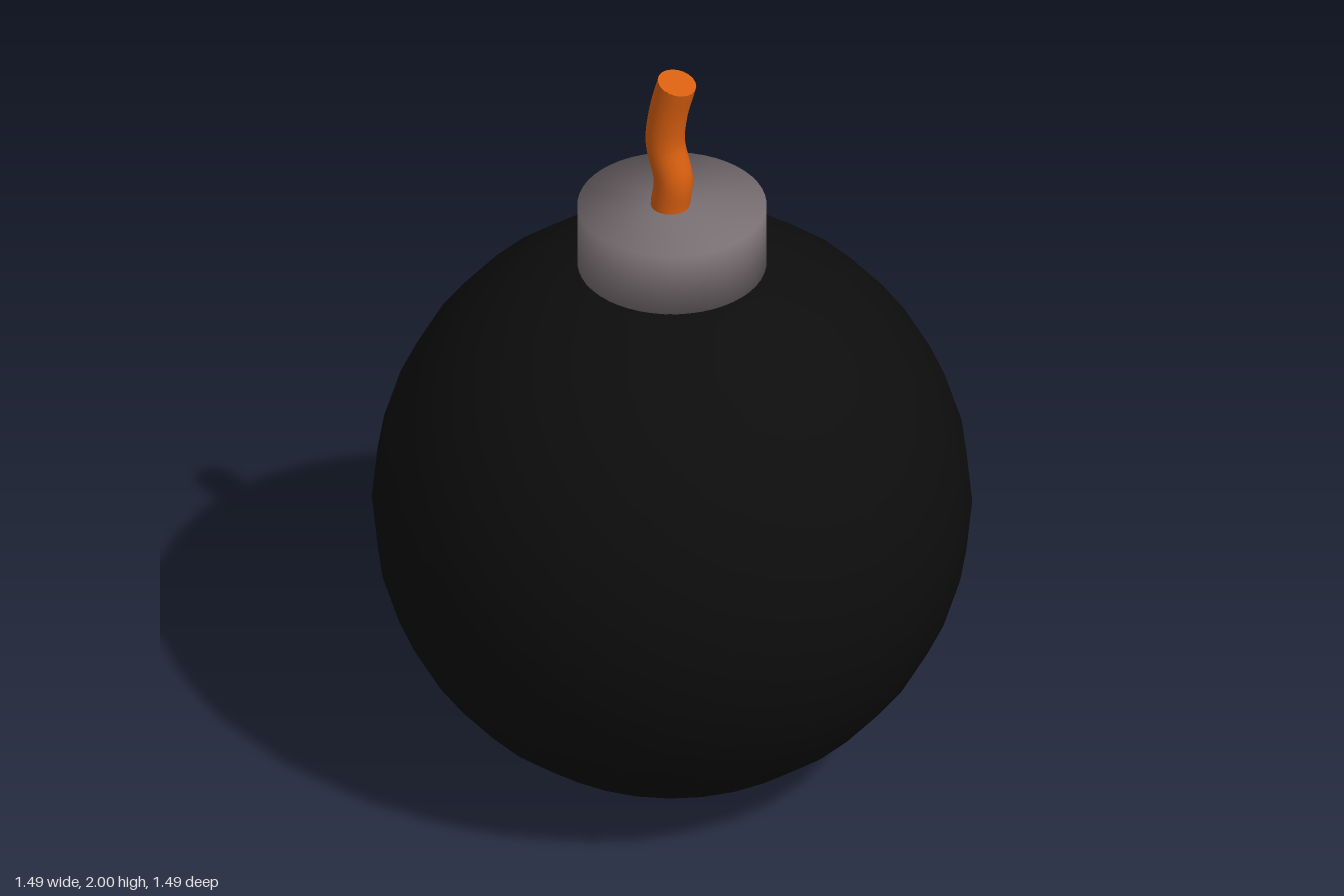
import * as THREE from 'three';

const BODY_RADIUS = 0.745;
const COLLAR_RADIUS = 0.235;
const FUSE_RADIUS = 0.049;

function part(name, geometry, color) {
  const mesh = new THREE.Mesh(geometry, new THREE.MeshStandardMaterial({ color }));
  mesh.name = name;
  return mesh;
}

// Closed cylinder whose normals blend softly between wall and caps
function softCylinder(radius, height, sides) {
  const geometry = new THREE.CylinderGeometry(radius, radius, height, sides);
  const { position, normal } = geometry.attributes;
  for (let i = 0; i < position.count; i++) {
    normal.setXYZ(
      i,
      (position.getX(i) / radius) * 0.8,
      Math.sign(position.getY(i)) * 0.6,
      (position.getZ(i) / radius) * 0.8
    );
  }
  return geometry;
}

export function createModel() {
  const model = new THREE.Group();
  model.name = 'roundBomb';

  // Round body resting on the ground
  const body = part('body', new THREE.SphereGeometry(BODY_RADIUS, 32, 16), 0x0d0d0d);
  body.position.y = BODY_RADIUS;
  model.add(body);

  // Short collar on top of the body
  const collar = part('collar', softCylinder(COLLAR_RADIUS, 0.18, 48), 0x7a7074);
  collar.position.y = 1.53;
  model.add(collar);

  // Wavy fuse: a bent tube closed with a disc at its tilted tip
  const path = new THREE.CatmullRomCurve3(
    [[-0.008, 1.58], [-0.004, 1.63], [0.004, 1.7], [-0.02, 1.8], [-0.011, 1.89], [0.015, 1.987]]
      .map(([x, y]) => new THREE.Vector3(x, y, 0))
  );
  const fuse = new THREE.Group();
  fuse.name = 'fuse';
  fuse.add(part('fuseCord', new THREE.TubeGeometry(path, 24, FUSE_RADIUS, 20), 0xd95f10));

  const tip = part('fuseTip', new THREE.CircleGeometry(FUSE_RADIUS, 20), 0xd95f10);
  tip.position.copy(path.getPoint(1));
  tip.quaternion.setFromUnitVectors(new THREE.Vector3(0, 0, 1), path.getTangent(1));
  fuse.add(tip);
  model.add(fuse);

  return model;
}
